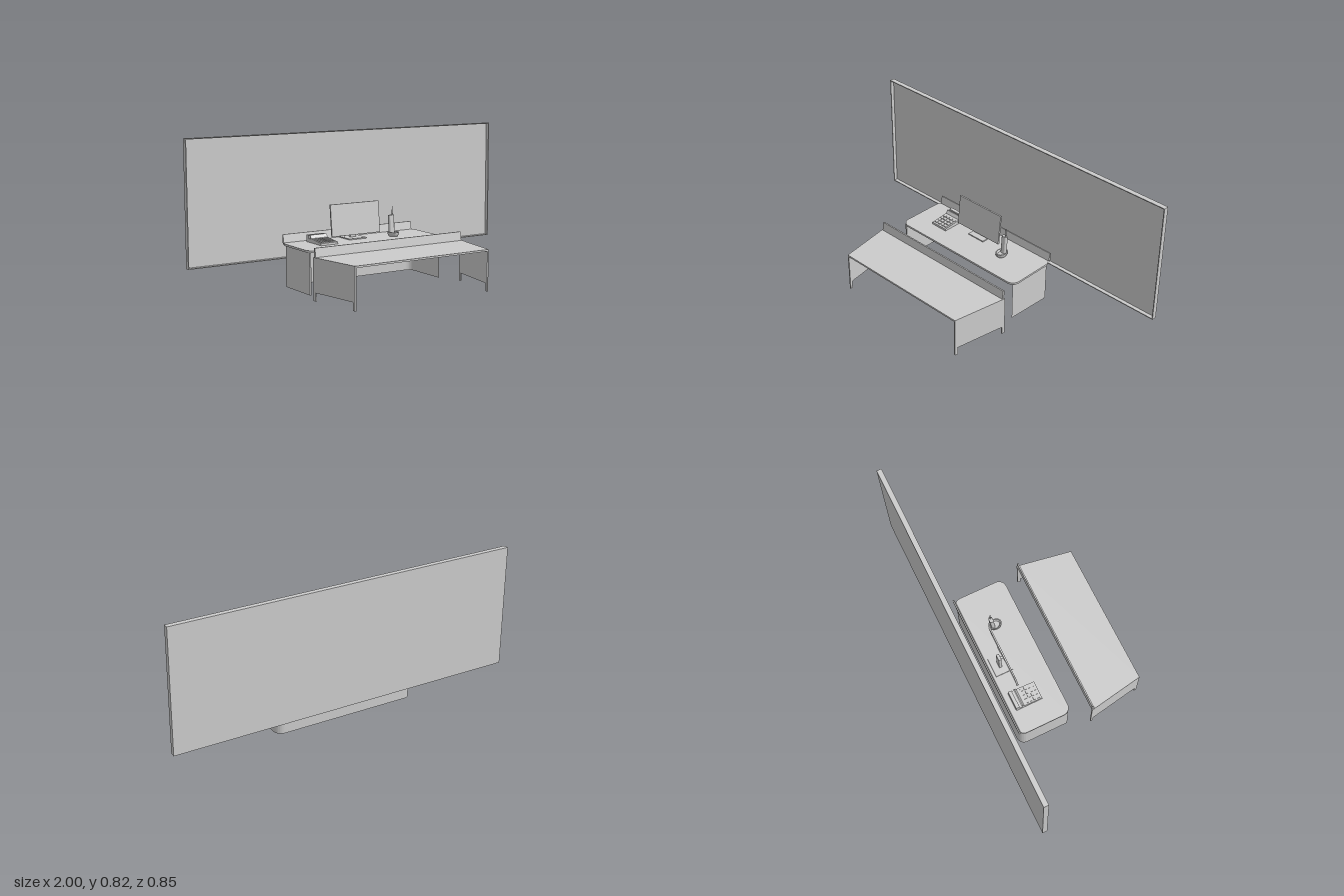
import * as THREE from 'three';
import { toCreasedNormals } from 'three/addons/utils/BufferGeometryUtils.js';

const grey = new THREE.MeshStandardMaterial({ color: 0xcccccc });
const CX = -0.062; // shared centre line of desk and bench

function add(parent, name, geometry) {
  const mesh = new THREE.Mesh(geometry, grey);
  mesh.name = name;
  parent.add(mesh);
  return mesh;
}

function group(parent, name) {
  const g = new THREE.Group();
  g.name = name;
  parent.add(g);
  return g;
}

// Box from its min and max corners
function box(parent, name, x0, x1, y0, y1, z0, z1) {
  const g = new THREE.BoxGeometry(x1 - x0, y1 - y0, z1 - z0);
  g.translate((x0 + x1) / 2, (y0 + y1) / 2, (z0 + z1) / 2);
  return add(parent, name, g);
}

const polygon = (pts) => new THREE.Shape(pts.map(([a, b]) => new THREE.Vector2(a, b)));

// Side profile of [z, y] points, extruded along x about a centre
function profile(pts, width, cx) {
  const g = new THREE.ExtrudeGeometry(polygon(pts), { depth: width, bevelEnabled: false });
  g.rotateY(-Math.PI / 2);
  g.translate(cx + width / 2, 0, 0);
  return g;
}

// Floor plan drawn in (x, -z), extruded upwards from y0 to y1
function plan(shape, y0, y1) {
  const g = new THREE.ExtrudeGeometry(shape, { depth: y1 - y0, bevelEnabled: false, curveSegments: 10 });
  g.rotateX(-Math.PI / 2);
  g.translate(0, y0, 0);
  return toCreasedNormals(g, 0.5);
}

function roundedRect(x0, x1, y0, y1, r) {
  const s = new THREE.Shape();
  s.absarc(x1 - r, y0 + r, r, -Math.PI / 2, 0);
  s.absarc(x1 - r, y1 - r, r, 0, Math.PI / 2);
  s.absarc(x0 + r, y1 - r, r, Math.PI / 2, Math.PI);
  s.absarc(x0 + r, y0 + r, r, Math.PI, Math.PI * 1.5);
  return s;
}

// Large wall board: shallow tray open to the front
function buildBoard(root) {
  const b = group(root, 'wallBoard');
  const t = 0.005, z0 = -0.424, z1 = -0.396, y0 = 0.13, y1 = 0.822;
  box(b, 'boardPanel', -1 + t, 1 - t, y0 + t, y1 - t, z0, z0 + 0.006);
  box(b, 'boardTopRim', -1, 1, y1 - t, y1, z0, z1);
  box(b, 'boardBottomRim', -1, 1, y0, y0 + t, z0, z1);
  for (const s of [-1, 1]) {
    const x = s * (1 - t / 2);
    box(b, 'boardSideRim', x - t / 2, x + t / 2, y0 + t, y1 - t, z0, z1);
  }
}

// Front bench: tapered top, slanted end panels with short legs, rear rail
function buildBench(root) {
  const b = group(root, 'frontBench');
  const zb = 0.107, zf = 0.425, halfBack = 0.472, halfFront = 0.418;
  const slope = (halfBack - halfFront) / (zf - zb);
  const top = [[-halfFront, -zf], [halfFront, -zf], [halfBack, -zb], [-halfBack, -zb]];
  add(b, 'benchTop', plan(polygon(top.map(([x, y]) => [x + CX, y])), 0.218, 0.228));

  const side = [[zb, 0], [zb + 0.016, 0], [zb + 0.016, 0.044], [zf - 0.016, 0.044],
    [zf - 0.016, 0], [zf, 0], [zf, 0.218], [zb, 0.218]];
  for (const s of [-1, 1]) {
    const g = profile(side, 0.008, s * (halfBack - 0.004));
    const p = g.attributes.position;
    for (let i = 0; i < p.count; i++) p.setX(i, p.getX(i) - s * slope * (p.getZ(i) - zb) + CX);
    g.computeVertexNormals();
    add(b, 'benchEndPanel', g);
  }
  add(b, 'benchRail', profile([[zb, 0.228], [0.123, 0.228], [0.115, 0.276], [zb, 0.276]], 0.93, CX));
}

// Desk: rounded top on a U-shaped skirt, open towards the front
function buildDesk(root) {
  const d = group(root, 'desk');
  add(d, 'deskTop', plan(roundedRect(CX - 0.431, CX + 0.431, 0, 0.31, 0.045), 0.227, 0.238));

  const h = 0.422, t = 0.009, back = 0.307, front = 0.015, r = 0.045;
  const u = new THREE.Shape();
  u.moveTo(CX + h, front);
  u.absarc(CX + h - r, back - r, r, 0, Math.PI / 2);
  u.absarc(CX - h + r, back - r, r, Math.PI / 2, Math.PI);
  u.lineTo(CX - h, front);
  u.lineTo(CX - h + t, front);
  u.absarc(CX - h + r, back - r, r - t, Math.PI, Math.PI / 2, true);
  u.absarc(CX + h - r, back - r, r - t, Math.PI / 2, 0, true);
  u.lineTo(CX + h - t, front);
  add(d, 'deskSkirt', plan(u, 0, 0.227));

  add(d, 'deskRail', profile([[-0.31, 0.228], [-0.298, 0.238], [-0.307, 0.283], [-0.314, 0.283]], 0.84, CX));
}

// Monitor: tilted thin screen on a column and flat foot
function buildMonitor(root) {
  const m = group(root, 'monitor');
  const x = -0.082;
  add(m, 'screen', profile([[-0.205, 0.262], [-0.195, 0.262], [-0.213, 0.437], [-0.222, 0.437]], 0.312, x));
  box(m, 'monitorFoot', x - 0.056, x + 0.056, 0.238, 0.244, -0.282, -0.178);
  box(m, 'monitorColumn', x - 0.018, x + 0.018, 0.244, 0.37, -0.245, -0.229);
  const arm = add(m, 'monitorArm', new THREE.CylinderGeometry(0.007, 0.007, 0.022, 12));
  arm.rotation.x = Math.PI / 2;
  arm.position.set(x, 0.345, -0.22);
}

// Desk telephone: wedge body with keypad, upright display and rear block
function buildDeskPhone(root) {
  const p = group(root, 'deskPhone');
  const x = -0.306, w = 0.104;
  add(p, 'phoneBody', profile([[-0.11, 0.238], [-0.11, 0.25], [-0.225, 0.262], [-0.225, 0.238]], w, x));
  box(p, 'phoneBack', x - w / 2, x + w / 2, 0.238, 0.277, -0.266, -0.246);
  box(p, 'phoneBridge', x - w / 2, x + w / 2, 0.238, 0.258, -0.246, -0.225);
  add(p, 'phoneDisplay', profile([[-0.224, 0.258], [-0.216, 0.258], [-0.228, 0.279], [-0.235, 0.279]], w, x));
  for (let row = 0; row < 4; row++) {
    for (let col = 0; col < 4; col++) {
      const kx = x - 0.036 + col * 0.024, kz = -0.128 - row * 0.022;
      const key = box(p, 'phoneKey', -0.008, 0.008, -0.002, 0.004, -0.007, 0.007);
      key.position.set(kx, 0.25 + (-0.11 - kz) * 0.104, kz);
    }
  }
}

// Cordless handset standing in an oval cradle
function buildHandset(root) {
  const c = group(root, 'cordlessPhone');
  const x = 0.137;
  const pts = [[0.0001, 0], [0.022, 0], [0.029, 0.012], [0.03, 0.024], [0.025, 0.024], [0.02, 0.012], [0.0001, 0.01]];
  const cradle = add(c, 'cradle', toCreasedNormals(
    new THREE.LatheGeometry(pts.map(([a, b]) => new THREE.Vector2(a, b)), 28), 0.6));
  cradle.scale.z = 1.3;
  cradle.position.set(x, 0.238, -0.158);
  const body = add(c, 'handset', plan(roundedRect(-0.017, 0.017, -0.011, 0.011, 0.009), 0, 0.105));
  body.position.set(x, 0.25, -0.173);
  body.rotation.x = -0.07;
  const antenna = add(c, 'antenna', new THREE.CylinderGeometry(0.0015, 0.004, 0.052, 10));
  antenna.position.set(x + 0.008, 0.378, -0.18);
}

export function createModel() {
  const root = new THREE.Group();
  root.name = 'receptionDesk';
  buildBoard(root);
  buildBench(root);
  buildDesk(root);
  buildMonitor(root);
  buildDeskPhone(root);
  buildHandset(root);
  return root;
}
